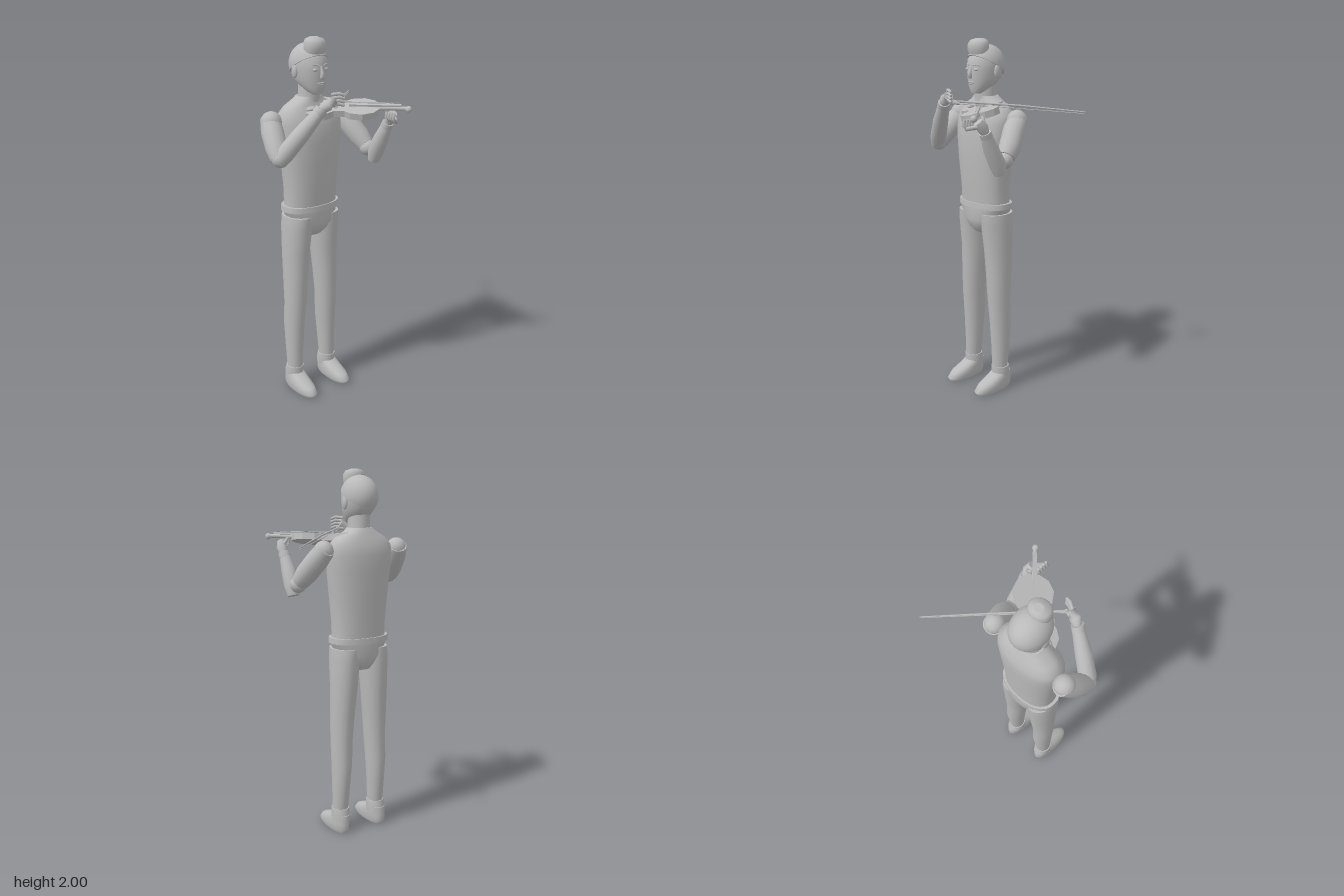
import * as THREE from 'three';

const CX = -0.09; // the body's own centre line
const V = (x, y, z) => new THREE.Vector3(x, y, z);

// Skin a list of rings (equal point counts, running along the part), with flat end caps
function skin(rings) {
  const n = rings[0].length, pos = [], idx = [];
  rings.forEach(r => r.forEach(p => pos.push(p.x, p.y, p.z)));
  for (let i = 0; i < rings.length - 1; i++) {
    for (let j = 0; j < n; j++) {
      const a = i * n + j, b = i * n + (j + 1) % n;
      idx.push(a, a + n, b, b, a + n, b + n);
    }
  }
  [rings[0], rings[rings.length - 1]].forEach((r, end) => {
    const base = pos.length / 3;
    const c = r.reduce((s, p) => s.add(p), V(0, 0, 0)).divideScalar(n);
    [...r, c].forEach(p => pos.push(p.x, p.y, p.z));
    for (let j = 0; j < n; j++) {
      const a = base + j, b = base + (j + 1) % n;
      idx.push(...(end ? [a, base + n, b] : [a, b, base + n]));
    }
  });
  const g = new THREE.BufferGeometry();
  g.setAttribute('position', new THREE.Float32BufferAttribute(pos, 3));
  g.setIndex(idx);
  g.computeVertexNormals();
  return g;
}

// Upright loft; sections are [y, centre x, centre z, half width, half depth]
function loft(sections, n = 24, power = 2) {
  const s = v => Math.sign(v) * Math.abs(v) ** (2 / power);
  return skin(sections.map(([y, cx, cz, rx, rz]) => Array.from({ length: n }, (_, j) => {
    const a = j / n * Math.PI * 2;
    return V(cx + rx * s(Math.cos(a)), y, cz + rz * s(Math.sin(a)));
  })));
}

// Round limb along points [x, y, z, radius]
function limb(points, n = 14) {
  const p = points.map(q => V(q[0], q[1], q[2]));
  return skin(p.map((c, i) => {
    const t = p[Math.min(i + 1, p.length - 1)].clone().sub(p[Math.max(i - 1, 0)]).normalize();
    const side = Math.abs(t.x) > 0.8 ? V(0, 0, 1) : V(1, 0, 0);
    side.addScaledVector(t, -side.dot(t)).normalize();
    const w = side.clone().cross(t);
    return Array.from({ length: n }, (_, j) => {
      const a = j / n * Math.PI * 2, r = points[i][3];
      return c.clone().addScaledVector(side, r * Math.cos(a)).addScaledVector(w, r * Math.sin(a));
    });
  }));
}

function ball(x, y, z, rx, ry = rx, rz = rx) {
  return new THREE.SphereGeometry(1, 16, 12).scale(rx, ry, rz).translate(x, y, z);
}

export function createModel() {
  const model = new THREE.Group();
  const grey = new THREE.MeshStandardMaterial({ color: 0xbababa, side: THREE.DoubleSide });
  grey.name = 'plainGrey';
  const add = (name, geometry, parent = model) => {
    const mesh = new THREE.Mesh(geometry, grey);
    mesh.name = name;
    parent.add(mesh);
    return mesh;
  };

  // Torso, belt and pelvis
  add('torso', loft([
    [1.1, CX, -0.073, 0.155, 0.1], [1.2, CX, -0.07, 0.154, 0.104], [1.35, CX, -0.068, 0.168, 0.113],
    [1.48, CX, -0.07, 0.182, 0.116], [1.56, CX, -0.075, 0.187, 0.112], [1.61, CX, -0.08, 0.182, 0.098],
    [1.65, CX, -0.082, 0.145, 0.078], [1.68, CX, -0.08, 0.09, 0.068], [1.7, CX, -0.075, 0.066, 0.062],
  ], 28, 2.3));
  add('belt', loft([[1.09, CX, -0.073, 0.173, 0.11], [1.12, CX, -0.073, 0.171, 0.108]], 28, 2.3));
  add('pelvis', loft([
    [0.94, CX, -0.08, 0.055, 0.065], [0.97, CX, -0.075, 0.085, 0.09],
    [1.02, CX, -0.073, 0.135, 0.108], [1.1, CX, -0.073, 0.164, 0.106],
  ], 28, 2.3));

  // Legs and shoes
  for (const s of [-1, 1]) {
    const side = s < 0 ? 'right' : 'left';
    const x = d => CX + s * d;
    add(side + 'Leg', loft([
      [0.12, x(0.117), -0.078, 0.043, 0.047], [0.25, x(0.115), -0.083, 0.048, 0.055],
      [0.4, x(0.112), -0.085, 0.055, 0.066], [0.55, x(0.108), -0.076, 0.06, 0.069],
      [0.7, x(0.103), -0.078, 0.066, 0.077], [0.85, x(0.096), -0.08, 0.073, 0.086],
      [1, x(0.091), -0.075, 0.078, 0.1], [1.06, x(0.085), -0.073, 0.079, 0.102],
    ], 20));
    add(side + 'AnkleCuff', loft([
      [0.07, x(0.117), -0.085, 0.05, 0.058], [0.105, x(0.117), -0.083, 0.052, 0.056],
      [0.137, x(0.117), -0.079, 0.049, 0.052],
    ], 20));
    const shoe = add(side + 'Shoe', loft([
      [0, x(0.12), -0.02, 0.045, 0.122], [0.02, x(0.12), -0.018, 0.054, 0.133],
      [0.05, x(0.12), -0.032, 0.053, 0.118], [0.075, x(0.119), -0.062, 0.05, 0.086],
      [0.1, x(0.118), -0.085, 0.046, 0.06],
    ], 24, 2.2));
    shoe.geometry.computeVertexNormals();
  }

  // Neck, head and hair
  add('neck', loft([[1.65, CX, -0.075, 0.066, 0.064], [1.7, CX, -0.07, 0.058, 0.062], [1.8, CX, -0.07, 0.056, 0.06]]));
  add('head', loft([
    [1.714, CX, -0.005, 0.026, 0.024], [1.73, CX, -0.02, 0.046, 0.046], [1.755, CX, -0.042, 0.064, 0.073],
    [1.79, CX, -0.062, 0.08, 0.096], [1.84, CX, -0.067, 0.088, 0.104], [1.89, CX, -0.07, 0.088, 0.102],
    [1.93, CX, -0.075, 0.07, 0.08], [1.955, CX, -0.075, 0.03, 0.035],
  ]));
  add('hairCap', new THREE.SphereGeometry(1, 28, 12, 0, Math.PI * 2, 0, Math.PI / 2)
    .rotateX(-0.52).scale(0.096, 0.11, 0.115).translate(CX, 1.86, -0.073));
  add('hairCapBase', new THREE.CircleGeometry(1, 28).rotateX(Math.PI / 2 - 0.52)
    .scale(0.096, 0.11, 0.115).translate(CX, 1.86, -0.073));
  add('topKnot', loft([
    [1.91, CX, -0.025, 0.054, 0.046], [1.94, CX, -0.02, 0.06, 0.054], [1.97, CX, -0.02, 0.06, 0.053],
    [1.99, CX, -0.024, 0.05, 0.044], [2, CX, -0.03, 0.024, 0.022],
  ]));

  // Face
  const face = new THREE.Group();
  face.name = 'face';
  model.add(face);
  add('nose', limb([[CX, 1.862, 0.03, 0.006], [CX, 1.825, 0.041, 0.01], [CX, 1.808, 0.043, 0.013], [CX, 1.798, 0.034, 0.008]]), face);
  add('upperLip', ball(CX, 1.774, 0.027, 0.026, 0.006, 0.01), face);
  add('lowerLip', ball(CX, 1.764, 0.024, 0.021, 0.006, 0.01), face);
  for (const s of [-1, 1]) {
    add('eye', ball(CX + s * 0.034, 1.842, 0.026, 0.015, 0.008, 0.009), face);
    add('eyebrow', limb([[CX + s * 0.014, 1.862, 0.034, 0.004], [CX + s * 0.036, 1.868, 0.026, 0.004], [CX + s * 0.056, 1.86, 0.012, 0.003]], 6), face);
    add('ear', ball(CX + s * 0.089, 1.83, -0.075, 0.012, 0.036, 0.021), face);
  }

  // Right arm, holding the bow
  add('rightShoulder', ball(-0.32, 1.585, -0.09, 0.055));
  add('rightUpperArm', limb([[-0.315, 1.6, -0.11, 0.05], [-0.335, 1.54, -0.06, 0.059], [-0.355, 1.47, 0, 0.056], [-0.36, 1.425, 0.035, 0.048]]));
  add('rightElbow', ball(-0.36, 1.425, 0.04, 0.046));
  add('rightForearm', limb([[-0.37, 1.405, 0.04, 0.036], [-0.34, 1.455, 0.06, 0.046], [-0.27, 1.55, 0.1, 0.043], [-0.18, 1.665, 0.145, 0.03]]));
  add('rightCuff', limb([[-0.195, 1.647, 0.138, 0.034], [-0.178, 1.67, 0.147, 0.033]]));
  add('rightPalm', limb([[-0.18, 1.665, 0.146, 0.022], [-0.15, 1.69, 0.158, 0.031], [-0.115, 1.71, 0.168, 0.026]]));
  for (let i = 0; i < 4; i++) {
    const y = 1.738 - i * 0.017;
    add('rightFinger', limb([[-0.13, y, 0.162, 0.009], [-0.095, y + 0.004, 0.182, 0.009], [-0.068, y - 0.006, 0.188, 0.007]], 8));
  }
  add('rightThumb', limb([[-0.14, 1.68, 0.15, 0.01], [-0.11, 1.68, 0.155, 0.009], [-0.09, 1.69, 0.16, 0.007]], 8));

  // Left arm, holding the neck of the instrument
  add('leftShoulder', ball(0.135, 1.585, -0.09, 0.053, 0.055, 0.055));
  add('leftUpperArm', limb([[0.13, 1.6, -0.11, 0.05], [0.15, 1.54, -0.055, 0.059], [0.185, 1.46, 0.01, 0.058], [0.2, 1.415, 0.05, 0.047]]));
  add('leftElbow', ball(0.203, 1.4, 0.065, 0.045));
  add('leftForearm', limb([[0.212, 1.335, 0.105, 0.032], [0.212, 1.39, 0.122, 0.044], [0.21, 1.47, 0.165, 0.04], [0.215, 1.56, 0.21, 0.027]]));
  add('leftCuff', limb([[0.214, 1.535, 0.197, 0.032], [0.215, 1.56, 0.21, 0.031]]));
  add('leftPalm', limb([[0.215, 1.555, 0.208, 0.022], [0.216, 1.585, 0.228, 0.03], [0.208, 1.615, 0.25, 0.024]]));
  for (let i = 0; i < 4; i++) {
    const z = 0.25 + i * 0.018;
    add('leftFinger', limb([[0.215, 1.595, 0.235 + i * 0.008, 0.01], [0.182, 1.582, z, 0.01], [0.162, 1.6, z, 0.009], [0.168, 1.627, z - 0.004, 0.007]], 8));
  }
  add('leftThumb', limb([[0.22, 1.59, 0.22, 0.011], [0.2, 1.62, 0.21, 0.01], [0.19, 1.64, 0.205, 0.007]], 8));

  // Stringed instrument: local x runs to the scroll, local z across the body
  const pivot = new THREE.Group();
  pivot.name = 'instrument';
  pivot.position.set(0.011, 1.633, 0.049);
  pivot.rotation.y = -Math.PI / 4;
  model.add(pivot);
  const violin = new THREE.Group();
  violin.name = 'instrumentRoll';
  violin.rotation.x = 0.24;
  pivot.add(violin);
  const half = [[-0.2, 0.045], [-0.17, 0.095], [-0.115, 0.116], [-0.06, 0.105], [-0.02, 0.066], [0.035, 0.064],
    [0.067, 0.089], [0.13, 0.1], [0.185, 0.075], [0.212, 0.03]];
  const outline = [...half, ...half.slice().reverse().map(([u, v]) => [u, -v])].map(([u, v]) => new THREE.Vector2(u, v));
  add('instrumentBody', new THREE.ExtrudeGeometry(new THREE.Shape(outline), { depth: 0.034, bevelEnabled: false })
    .rotateX(-Math.PI / 2).translate(0, -0.017, 0), violin);
  const box = (name, x, y, z, w, h, d) => add(name, new THREE.BoxGeometry(w, h, d).translate(x, y, z), violin);
  box('bridge', -0.015, 0.03, 0, 0.006, 0.028, 0.05);
  box('tailpiece', -0.08, 0.027, 0, 0.11, 0.008, 0.022);
  box('fingerboard', 0.19, 0.027, 0.006, 0.27, 0.01, 0.02);
  add('instrumentNeck', limb([[0.19, 0.01, 0.006, 0.013], [0.3, 0.014, 0.01, 0.011], [0.365, 0.014, 0.014, 0.01]]), violin);
  add('scroll', ball(0.362, 0.012, 0.016, 0.017), violin);
  add('chinRest', ball(-0.15, 0.024, 0.05, 0.035, 0.012, 0.03), violin);
  for (const s of [-1, 1]) box('string', 0.15, 0.038, s * 0.005, 0.34, 0.002, 0.002);

  // Bow
  add('bowStick', limb([[-0.112, 1.685, 0.172, 0.006], [0.15, 1.664, -0.084, 0.005], [0.4, 1.632, -0.328, 0.003]], 8));
  add('bowHair', limb([[-0.095, 1.672, 0.155, 0.003], [0.393, 1.624, -0.322, 0.002]], 6));
  add('bowFrog', limb([[-0.105, 1.676, 0.165, 0.01], [-0.07, 1.674, 0.131, 0.009]], 8));

  return model;
}
